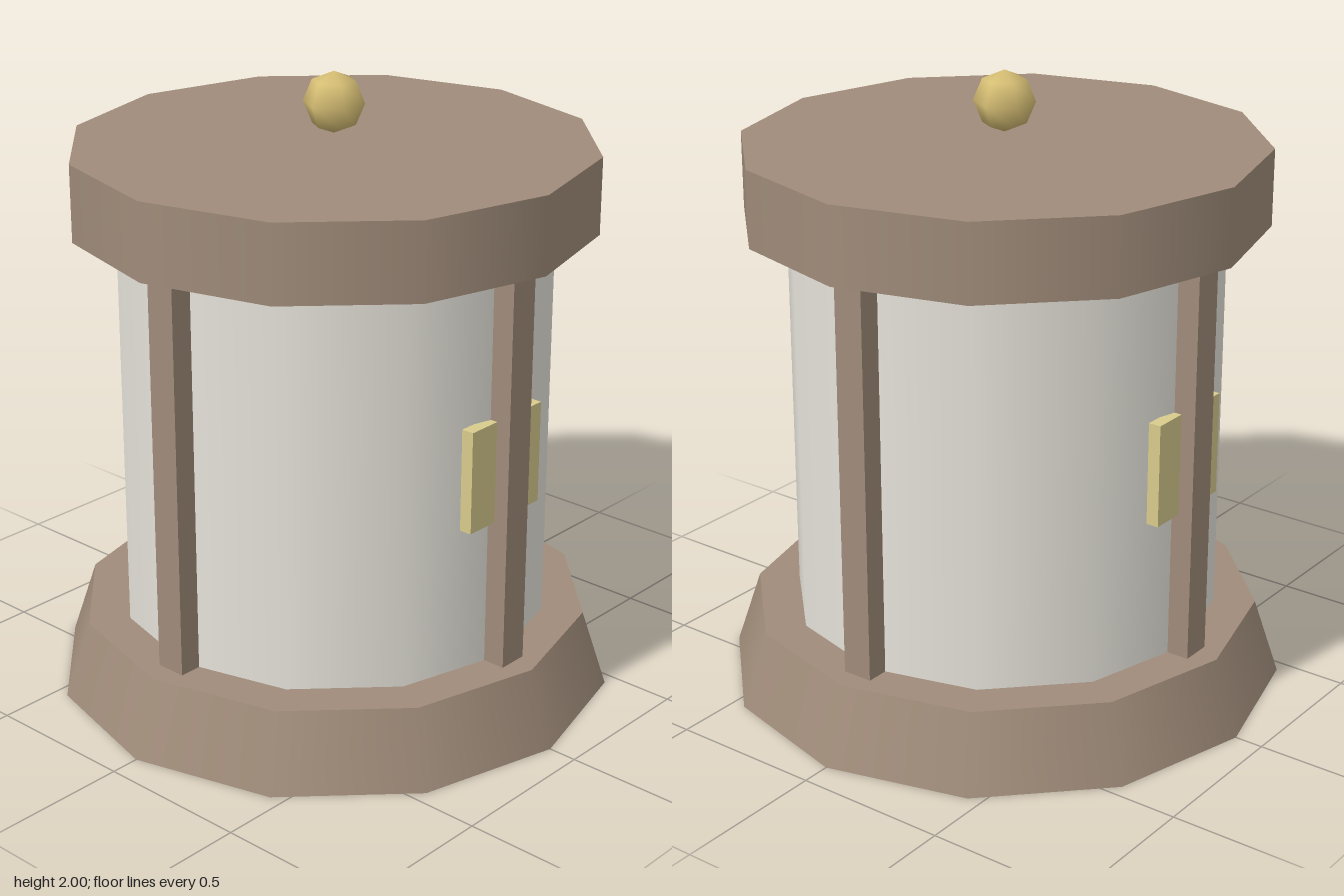
import * as THREE from 'three';

const paint = (color) => new THREE.MeshStandardMaterial({ color });

export function createModel() {
  const group = new THREE.Group();
  const stone = paint(0xa08c7a);
  const wall = paint(0xe6e3da);
  const glow = paint(0xd8cb8c);
  const gold = paint(0xd6be74);

  const add = (name, geometry, material, x, y, z) => {
    const mesh = new THREE.Mesh(geometry, material);
    mesh.name = name;
    mesh.position.set(x, y, z);
    group.add(mesh);
    return mesh;
  };
  // Twelve-sided drum between two heights
  const drum = (name, rTop, rBottom, y0, y1, material) =>
    add(name, new THREE.CylinderGeometry(rTop, rBottom, y1 - y0, 12), material, 0, (y0 + y1) / 2, 0);

  // Flared base, round wall and flat roof
  drum('base', 0.825, 0.907, 0, 0.248, stone);
  drum('wall', 0.69, 0.69, 0.248, 1.535, wall);
  drum('roof', 0.825, 0.825, 1.535, 1.78, stone);

  // Four upright posts, one on each side
  const postGeometry = new THREE.BoxGeometry(0.1, 1.287, 0.1);
  for (let i = 0; i < 4; i++) {
    const a = (i * Math.PI) / 2;
    const post = add('post', postGeometry, stone, Math.sin(a) * 0.7, 0.8915, Math.cos(a) * 0.7);
    post.rotation.y = a;
  }

  // Square panels behind the front and back posts
  const panelGeometry = new THREE.BoxGeometry(0.328, 0.33, 0.041);
  add('frontPanel', panelGeometry, glow, 0, 0.895, 0.681);
  add('backPanel', panelGeometry, glow, 0, 0.895, -0.681);

  // Small faceted ball floating above the roof
  add('finial', new THREE.SphereGeometry(0.097, 6, 4), gold, 0, 1.903, 0);

  return group;
}
